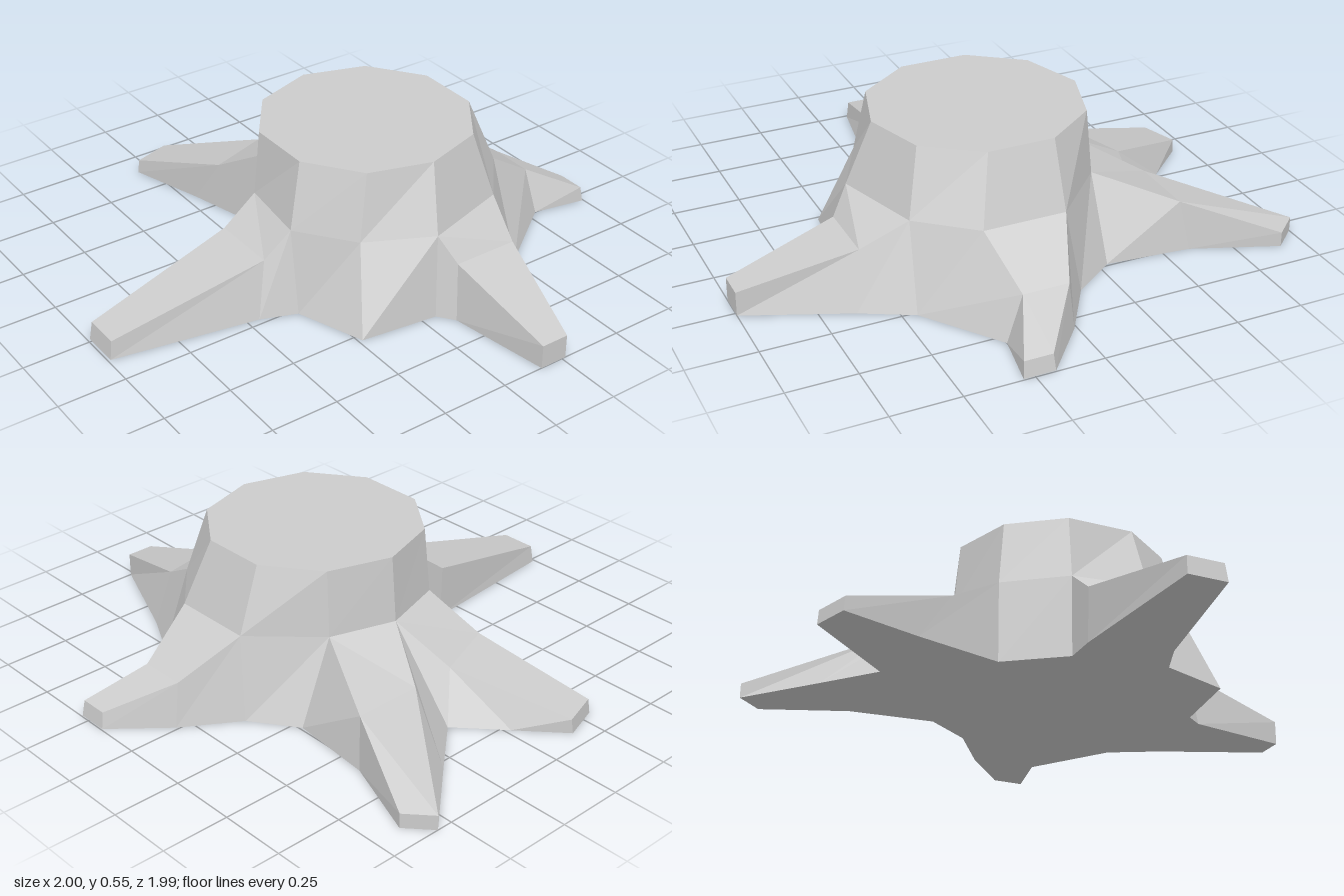
import * as THREE from 'three';

const material = new THREE.MeshStandardMaterial({ color: 0xcccccc, flatShading: true });

// Trunk rings as [x, z], counter-clockwise from above, starting at the front
const MID_Y = 0.305, TOP_Y = 0.545;
const at = (y) => ([x, z]) => [x, y, z];
const cutRing = [[-0.07, 0.25], [0.18, 0.25], [0.375, 0.11], [0.445, -0.12], [0.375, -0.35],
  [0.18, -0.49], [-0.065, -0.49], [-0.26, -0.35], [-0.335, -0.12], [-0.26, 0.11]].map(at(TOP_Y));
const midRing = [[-0.07, 0.275], [0.21, 0.31], [0.41, 0.16], [0.53, -0.08], [0.43, -0.41],
  [0.235, -0.575], [-0.07, -0.575], [-0.28, -0.36], [-0.355, -0.12], [-0.28, 0.12]].map(at(MID_Y));
const baseRing = [[-0.07, 0.275], [0.275, 0.325], [0.53, 0.235], [0.565, -0.055], [0.45, -0.515],
  [0.45, -0.515], [-0.12, -0.605], [-0.285, -0.49], [-0.62, -0.125], [-0.28, 0.125]].map(at(0));

// Each root grows from one side of the trunk; sections run ground, top, top, ground
const roots = {
  0: { name: 'frontRoot',
    knee: [[-0.07, 0, 0.4], [-0.07, 0.205, 0.405], [0.185, 0.205, 0.405], [0.225, 0, 0.455]],
    tip: [[-0.015, 0, 0.99], [-0.01, 0.07, 0.98], [0.125, 0.07, 0.98], [0.13, 0, 0.99]] },
  3: { name: 'leftRoot',
    knee: [[0.625, 0, -0.1], [0.595, 0.21, -0.12], [0.595, 0.21, -0.365], [0.63, 0, -0.42]],
    tip: [[1, 0, -0.16], [1, 0.09, -0.16], [1, 0.09, -0.265], [1, 0, -0.265]] },
  5: { name: 'backRoot',
    knee: [[0.25, 0, -0.79], [0.19, 0.165, -0.78], [0.02, 0.165, -0.78], [0.01, 0, -0.805]],
    tip: [[0.29, 0, -0.995], [0.285, 0.06, -0.985], [0.18, 0.06, -0.985], [0.175, 0, -0.995]] },
  7: { name: 'backRightRoot',
    knee: [[-0.6, 0, -0.52], [-0.57, 0.185, -0.49], [-0.57, 0.185, -0.235], [-0.78, 0, -0.31]],
    tip: [[-0.91, 0, -0.64], [-0.91, 0.055, -0.64], [-1, 0.055, -0.56], [-1, 0, -0.56]] },
  8: { name: 'frontRightRoot',
    knee: [[-0.78, 0, 0.02], [-0.56, 0.185, -0.06], [-0.475, 0.19, 0.175], [-0.6, 0, 0.21]],
    tip: [[-0.935, 0, 0.16], [-0.93, 0.055, 0.155], [-0.885, 0.055, 0.295], [-0.89, 0, 0.3]] },
};

// Flat-shaded mesh from a list of four-cornered faces
function quadMesh(name, quads) {
  const positions = quads.flatMap(([a, b, c, d]) => [a, b, c, a, c, d]).flat();
  const geometry = new THREE.BufferGeometry();
  geometry.setAttribute('position', new THREE.Float32BufferAttribute(positions, 3));
  geometry.computeVertexNormals();
  const mesh = new THREE.Mesh(geometry, material);
  mesh.name = name;
  return mesh;
}

// Horizontal face bounded by an outline
function flatMesh(name, outline, y, up) {
  const s = up ? -1 : 1;
  const shape = new THREE.Shape(outline.map(([x, , z]) => new THREE.Vector2(x, s * z)));
  const geometry = new THREE.ShapeGeometry(shape).rotateX(s * Math.PI / 2).translate(0, y, 0);
  const mesh = new THREE.Mesh(geometry, material);
  mesh.name = name;
  return mesh;
}

export function createModel() {
  const group = new THREE.Group();
  group.name = 'treeStump';
  const upper = [], lower = [], footprint = [];

  for (let i = 0; i < 10; i++) {
    const j = (i + 1) % 10;
    upper.push([midRing[i], midRing[j], cutRing[j], cutRing[i]]);
    if (i !== 5) footprint.push(baseRing[i]); // corners 4 and 5 meet at the ground

    const root = roots[i];
    if (!root) {
      lower.push([baseRing[i], baseRing[j], midRing[j], midRing[i]]);
      continue;
    }
    // Root: loft from the trunk side through the knee to the capped tip
    const { name, knee, tip } = root;
    const sections = [[baseRing[i], midRing[i], midRing[j], baseRing[j]], knee, tip];
    const quads = [[tip[0], tip[3], tip[2], tip[1]]];
    for (let s = 0; s < 2; s++) {
      for (let k = 0; k < 3; k++) {
        quads.push([sections[s][k], sections[s + 1][k], sections[s + 1][k + 1], sections[s][k + 1]]);
      }
    }
    group.add(quadMesh(name, quads));
    footprint.push(knee[0], tip[0], tip[3], knee[3]);
  }

  group.add(quadMesh('upperTrunk', upper), quadMesh('lowerTrunk', lower));
  group.add(flatMesh('cutTop', cutRing, TOP_Y, true), flatMesh('underside', footprint, 0, false));
  return group;
}
